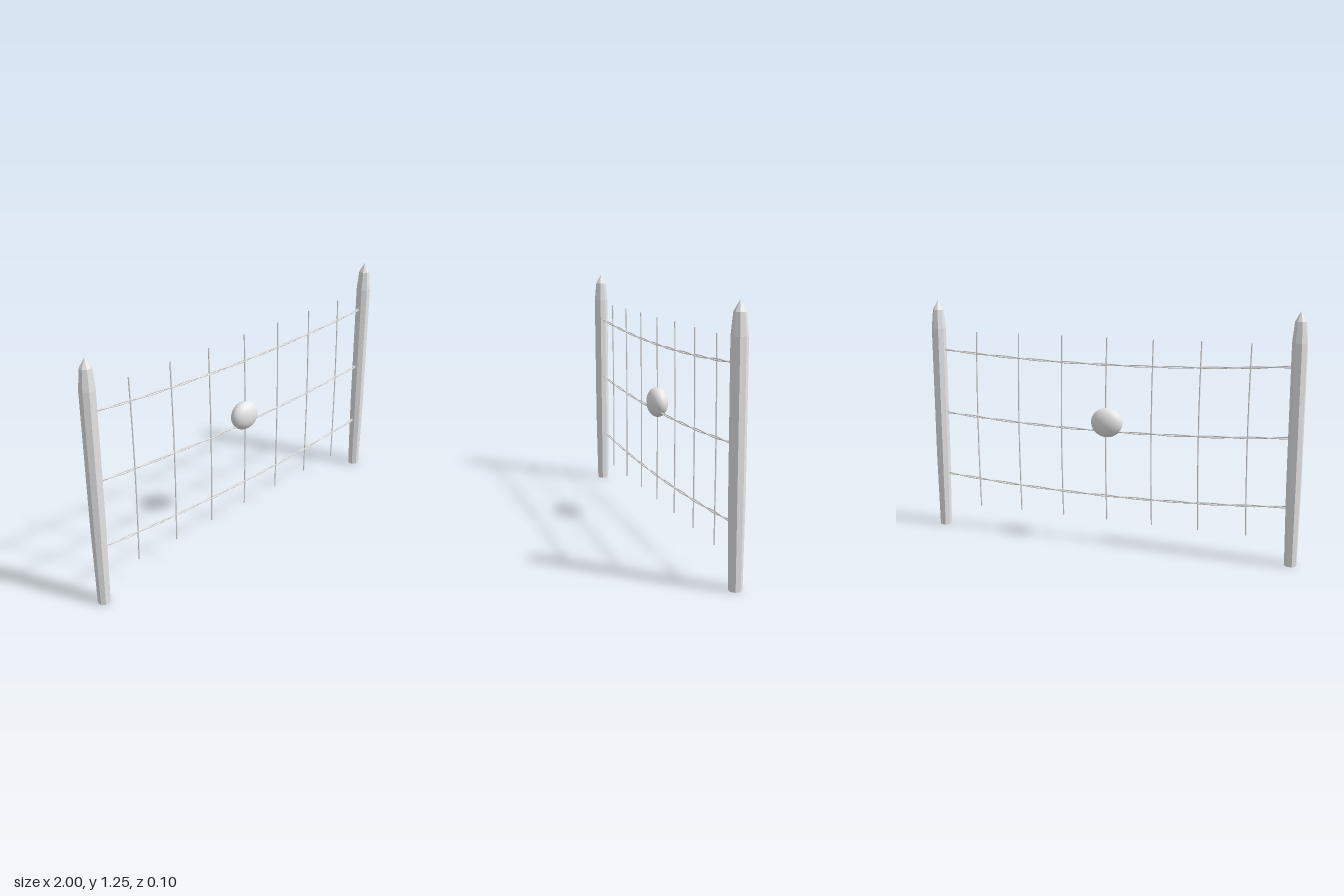
import * as THREE from 'three';

const grey = new THREE.MeshStandardMaterial({ color: 0xf0f0f0 });
grey.name = 'paleGrey';

function add(group, geometry, name, x = 0, y = 0, z = 0) {
  const mesh = new THREE.Mesh(geometry, grey);
  mesh.name = name;
  mesh.position.set(x, y, z);
  group.add(mesh);
  return mesh;
}

// Tube along a path function
function wire(path, segments, radius) {
  const points = [];
  for (let i = 0; i <= segments; i++) points.push(path(i / segments));
  return new THREE.TubeGeometry(new THREE.CatmullRomCurve3(points), segments, radius, 6);
}

// Eight-sided sharpened stake, faceted by splitting its faces
function postGeometry() {
  const profile = [[0, 0], [0.031, 0], [0.037, 0.4], [0.038, 1.1], [0.028, 1.2], [0, 1.248]]
    .map(([r, y]) => new THREE.Vector2(r, y));
  const geometry = new THREE.LatheGeometry(profile, 8, Math.PI / 8).toNonIndexed();
  geometry.computeVertexNormals();
  return geometry;
}

export function createModel() {
  const model = new THREE.Group();
  model.name = 'wireFence';

  // Posts
  const post = postGeometry();
  add(model, post, 'rightPost', -0.965);
  add(model, post, 'leftPost', 0.965);

  // Sagging rails, each of two strands twisted together
  for (const [name, y] of [['lowerRail', 0.297], ['middleRail', 0.642], ['upperRail', 0.987]]) {
    const rail = new THREE.Group();
    rail.name = name;
    for (const phase of [0, Math.PI]) {
      const path = (t) => {
        const x = -0.945 + 1.89 * t;
        const angle = t * Math.PI * 10 + phase;
        const sag = 0.038 * (1 - (x / 0.945) ** 2);
        return new THREE.Vector3(x, y - sag + 0.004 * Math.cos(angle), 0.004 * Math.sin(angle));
      };
      add(rail, wire(path, 90, 0.003), 'strand');
    }
    model.add(rail);
  }

  // Slightly bowed upright wires
  for (let i = -3; i <= 3; i++) {
    const path = (t) => new THREE.Vector3(
      i * 0.246 - 0.001 + 0.007 * Math.sin(t * Math.PI), 0.128 + 0.96 * t, 0);
    add(model, wire(path, 16, 0.0035), 'uprightWire');
  }

  // Flattened ball caught in the wires
  const ball = add(model, new THREE.SphereGeometry(1, 32, 20), 'ball', 0, 0.649, 0);
  ball.scale.set(0.084, 0.076, 0.051);

  return model;
}
